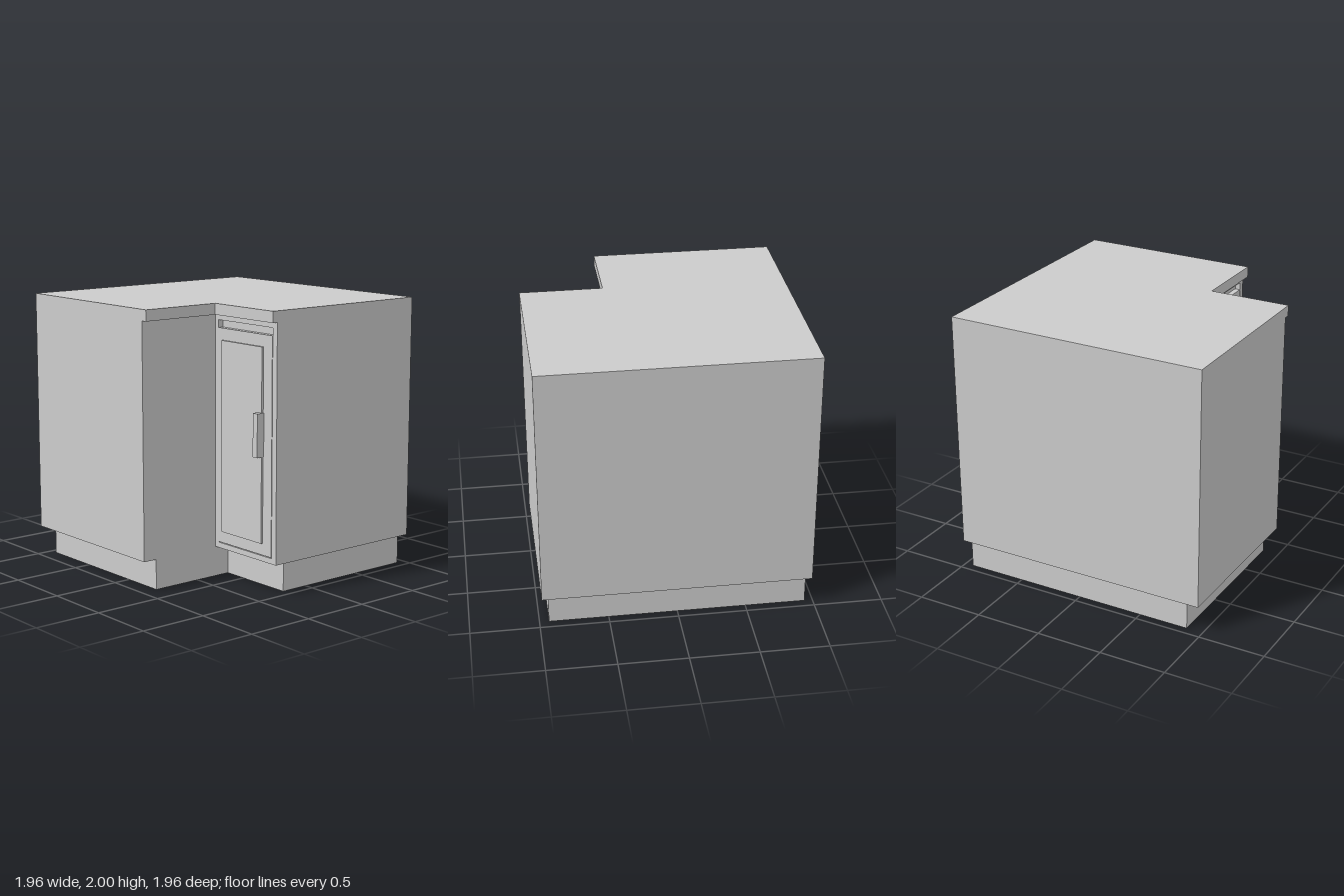
import * as THREE from 'three';

const paint = new THREE.MeshStandardMaterial({ color: 0xcccccc, side: THREE.DoubleSide });
paint.name = 'grey paint';

const H = 0.98;          // half width and half depth
const NX = 0.325;        // side of the notch
const FACE = 0.33;       // front plane of the door frame
const SLOT = 0.04;       // depth of the gap round the door

const shapeOf = (pts) => new THREE.Shape(pts.map(([x, y]) => new THREE.Vector2(x, y)));

function add(group, name, geometry) {
  const mesh = new THREE.Mesh(geometry, paint);
  mesh.name = name;
  group.add(mesh);
  return mesh;
}

// L-shaped slab with its front left corner cut away, from y0 to y1
function lSlab(nx, nz, y0, y1) {
  const outline = [[-H, -H], [nx, -H], [nx, -nz], [H, -nz], [H, H], [-H, H]];
  const g = new THREE.ExtrudeGeometry(shapeOf(outline), { depth: y1 - y0, bevelEnabled: false });
  return g.rotateX(-Math.PI / 2).translate(0, y0, 0);
}

function box(x0, x1, y0, y1, z0, z1) {
  return new THREE.BoxGeometry(x1 - x0, y1 - y0, z1 - z0)
    .translate((x0 + x1) / 2, (y0 + y1) / 2, (z0 + z1) / 2);
}

export function createModel() {
  const cabinet = new THREE.Group();
  cabinet.name = 'cornerCabinet';

  // Carcass and worktop
  add(cabinet, 'carcass', lSlab(NX, FACE - SLOT, 0.22, 1.92));
  add(cabinet, 'worktop', lSlab(0.37, 0.37, 1.92, 2));

  // Door front: flush at the hinge, with a gap along the top, right and bottom
  const front = shapeOf([[NX, 0.22], [H, 0.22], [H, 1.92], [NX, 1.92]]);
  front.holes.push(shapeOf([
    [0.36, 0.26], [0.935, 0.26], [0.935, 1.88], [0.36, 1.88],
    [0.36, 1.825], [0.93, 1.825], [0.93, 0.265], [0.36, 0.265],
  ]));
  add(cabinet, 'doorFront', new THREE.ExtrudeGeometry(front, { depth: SLOT, bevelEnabled: false })
    .translate(0, 0, FACE - SLOT));
  add(cabinet, 'doorPanel', box(0.41, 0.84, 0.35, 1.74, FACE, 0.345));
  add(cabinet, 'handle', box(0.8, 0.847, 0.97, 1.28, FACE, 0.39));

  // Plinth: thin upright boards, open underneath, with a divider front to back
  const L = -0.94, R = 0.932, B = -0.935, F = 0.875, N = 0.215;
  const boards = [
    ['plinthFront', L, F, NX, F], ['plinthDivider', NX, F, NX, B],
    ['plinthDoorSide', NX, N, R, N], ['plinthLeft', R, N, R, B],
    ['plinthBack', R, B, L, B], ['plinthRight', L, B, L, F],
  ];
  for (const [name, x0, z0, x1, z1] of boards) {
    const board = add(cabinet, name, new THREE.PlaneGeometry(Math.hypot(x1 - x0, z1 - z0), 0.22));
    board.position.set((x0 + x1) / 2, 0.11, (z0 + z1) / 2);
    board.rotation.y = -Math.atan2(z1 - z0, x1 - x0);
  }
  return cabinet;
}
